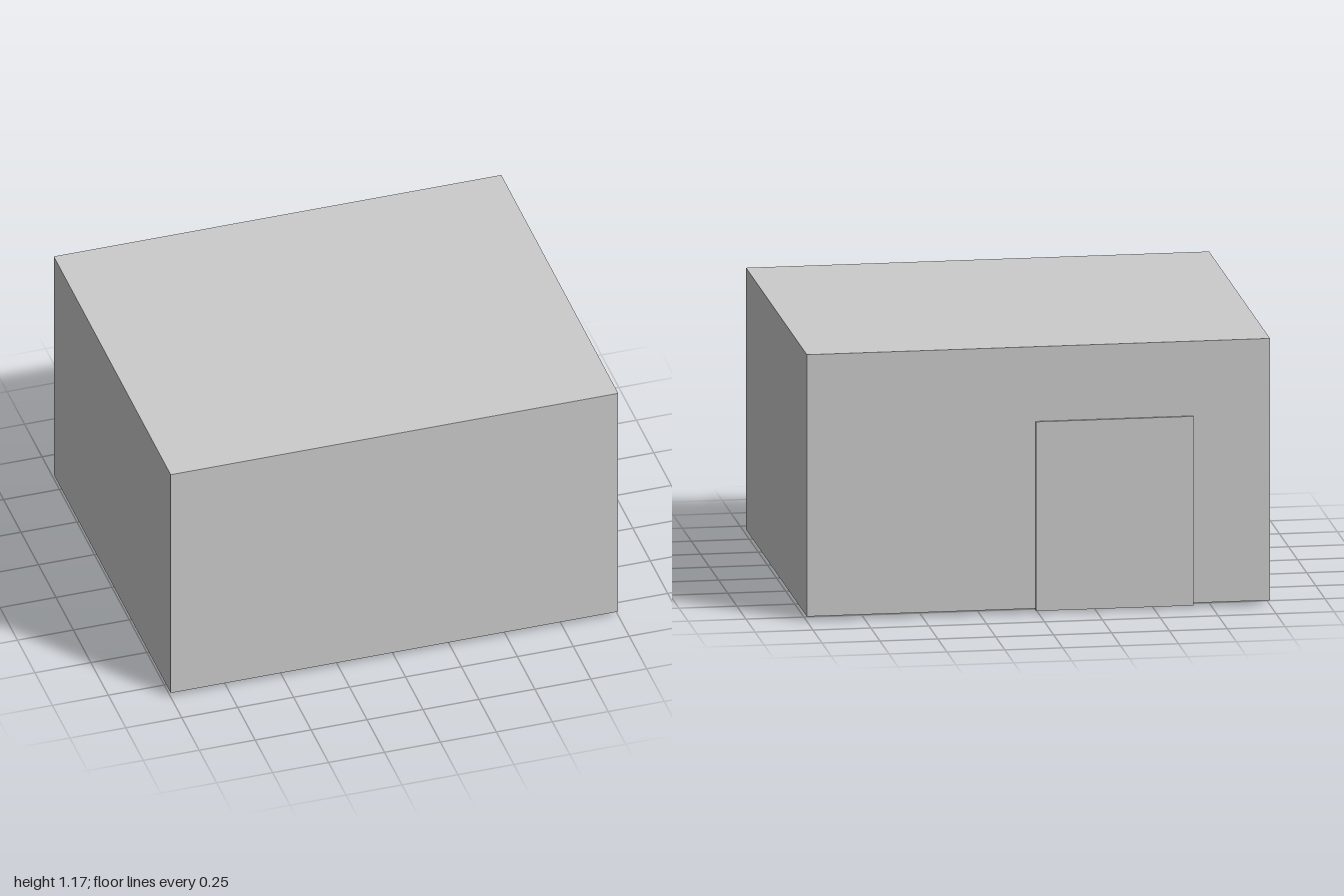
import * as THREE from 'three';

export function createModel() {
  const group = new THREE.Group();
  const material = new THREE.MeshStandardMaterial({ color: 0xcccccc });
  const add = (name, geometry, x, y, z) => {
    const mesh = new THREE.Mesh(geometry, material);
    mesh.name = name;
    mesh.position.set(x, y, z);
    group.add(mesh);
  };

  const base = 0.021, top = 1.167, back = -0.832, front = 0.842;

  // Main block
  add('body', new THREE.BoxGeometry(2, top - base, front - back),
    0, (top + base) / 2, (front + back) / 2);

  // Thin L-shaped plate: up the back wall and folded under the floor
  const plateRight = -0.668, plateLeft = 0.012;
  const profile = new THREE.Shape([
    [0.842, 0.012], [0.842, 0.84], [-back, 0.84], [-back, base], [0.66, base], [0.66, 0.012],
  ].map(([x, y]) => new THREE.Vector2(x, y)));
  const plate = new THREE.ExtrudeGeometry(profile, {
    depth: plateLeft - plateRight, bevelEnabled: false,
  });
  plate.rotateY(Math.PI / 2); // profile x becomes -z, depth runs along +x
  add('backPlate', plate, plateRight, 0, 0);

  // Four round feet
  const foot = new THREE.CylinderGeometry(0.016, 0.016, base, 24);
  for (const x of [0.26, 0.88])
    for (const z of [-0.11, 0.39]) add('foot', foot, x, base / 2, z);

  // Two square clusters of small tapered pins
  const pin = new THREE.CylinderGeometry(0.009, 0.007, base, 16);
  for (const centre of [-0.348, 0.635])
    for (const x of [0.815, 0.885])
      for (const dz of [-0.04, 0.04]) add('pin', pin, x, base / 2, centre + dz);

  return group;
}
